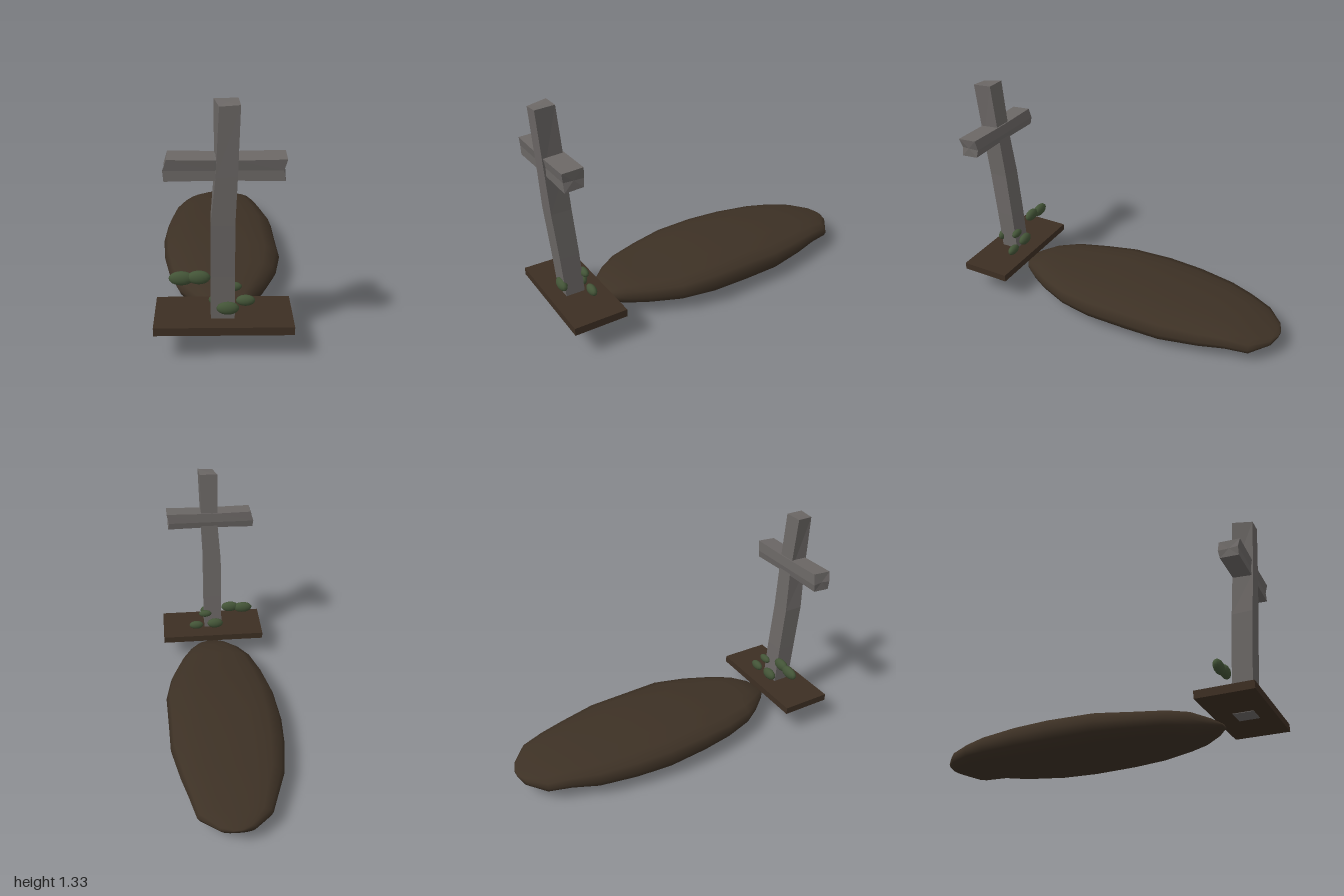
import * as THREE from 'three';

const mat = (name, color) => {
  const m = new THREE.MeshStandardMaterial({ color });
  m.name = name;
  return m;
};

// Skin a series of rings; rings run counter-clockwise seen from the far end.
function loft(rings, smooth) {
  const n = rings[0].length, pos = rings.flat(2), idx = [];
  for (let i = 0; i < rings.length - 1; i++) {
    for (let j = 0; j < n; j++) {
      const a = i * n + j, b = i * n + (j + 1) % n;
      idx.push(a, b, b + n, a, b + n, a + n);
    }
  }
  // End caps fan out from each ring's centre
  [0, rings.length - 1].forEach((r, end) => {
    const centre = pos.length / 3;
    for (let k = 0; k < 3; k++) pos.push(rings[r].reduce((s, p) => s + p[k], 0) / n);
    for (let j = 0; j < n; j++) {
      const a = r * n + j, b = r * n + (j + 1) % n;
      idx.push(centre, ...(end ? [a, b] : [b, a]));
    }
  });
  let g = new THREE.BufferGeometry();
  g.setAttribute('position', new THREE.Float32BufferAttribute(pos, 3));
  g.setIndex(idx);
  if (!smooth) g = g.toNonIndexed();
  g.computeVertexNormals();
  return g;
}

export function createModel() {
  const model = new THREE.Group();
  const stone = mat('weathered stone', 0x6b6765);
  const soil = mat('soil', 0x3d3125);
  const wood = mat('dark plank', 0x3d2f23);
  const moss = mat('moss', 0x435437);

  const add = (name, geometry, material) => {
    const mesh = new THREE.Mesh(geometry, material);
    mesh.name = name;
    model.add(mesh);
    return mesh;
  };

  // Base plank
  add('basePlank', new THREE.BoxGeometry(0.7, 0.044, 0.31), wood).position.set(0, 0.18, 0.845);

  // Leaning, slightly bent post: y, left, right, front z, back z, twist
  const post = [
    [0.155, -0.065, 0.055, 0.91, 0.80, 0],
    [0.45, -0.066, 0.055, 0.932, 0.818, 0],
    [0.73, -0.065, 0.053, 0.957, 0.84, 0],
    [0.98, -0.046, 0.061, 0.975, 0.858, 0.006],
    [1.328, -0.048, 0.066, 0.998, 0.885, 0.024]
  ].map(([y, l, r, f, b, t]) => [
    [l + t, y - t * 0.3, f], [r + t * 0.3, y, f], [r, y + t * 0.2, b], [l, y + t * 0.2, b]
  ]);
  add('crossPost', loft(post), stone);

  // Crossbar with chipped ends: x of bottom, middle and top edges
  const bar = [
    [-0.28, -0.285, -0.266, 0],
    [-0.05, -0.05, -0.05, 0.004],
    [0.06, 0.06, 0.06, 0.004],
    [0.285, 0.276, 0.291, 0]
  ].map(([b, m, t, dy]) => [
    [b, 0.957 + dy, 0.965], [b, 0.965 + dy, 0.86], [m, 1.01, 0.853],
    [t, 1.074 - dy, 0.857], [t, 1.066 - dy, 0.975], [m, 1.01, 0.965]
  ]);
  add('crossBar', loft(bar), stone);

  // Long low mound: z, left x, right x, bottom y, top y
  const mound = [
    [-1, -0.03, 0.03, 0.12, 0.135],
    [-0.975, -0.10, 0.10, 0.085, 0.148],
    [-0.88, -0.205, 0.215, 0.052, 0.172],
    [-0.75, -0.255, 0.25, 0.052, 0.198],
    [-0.6, -0.31, 0.29, 0.028, 0.213],
    [-0.37, -0.347, 0.34, 0.012, 0.23],
    [-0.15, -0.36, 0.345, 0.006, 0.237],
    [0.1, -0.343, 0.353, 0.02, 0.236],
    [0.3, -0.305, 0.315, 0.03, 0.216],
    [0.48, -0.245, 0.24, 0.043, 0.206],
    [0.59, -0.17, 0.175, 0.055, 0.196],
    [0.68, -0.09, 0.11, 0.09, 0.16],
    [0.73, -0.03, 0.04, 0.115, 0.132]
  ].map(([z, l, r, b, t]) => {
    const ring = [], mid = b + (t - b) * 0.54;
    for (let j = 0; j < 16; j++) {
      const a = j / 16 * Math.PI * 2, c = Math.cos(a), s = Math.sin(a);
      // Flatter crown, rounder belly
      const u = Math.sign(c) * Math.abs(c) ** 0.85;
      const v = s > 0 ? s ** 0.65 * (t - mid) : -((-s) ** 0.95) * (mid - b);
      ring.push([(l + r) / 2 + u * (r - l) / 2, mid + v, z]);
    }
    return ring;
  });
  add('mound', loft(mound, true), soil);

  // Moss clumps: centre and radii
  [
    [-0.215, 0.365, 0.79, 0.065, 0.038, 0.027],
    [-0.125, 0.372, 0.795, 0.06, 0.037, 0.027],
    [-0.02, 0.24, 0.788, 0.056, 0.036, 0.028],
    [0.05, 0.32, 0.797, 0.045, 0.025, 0.022],
    [0.115, 0.233, 0.786, 0.05, 0.03, 0.024],
    [0.02, 0.268, 0.922, 0.057, 0.035, 0.026]
  ].forEach(([x, y, z, rx, ry, rz], i) => {
    const clump = add('mossClump' + (i + 1), new THREE.SphereGeometry(1, 14, 10), moss);
    clump.position.set(x, y, z);
    clump.scale.set(rx, ry, rz);
  });

  return model;
}
